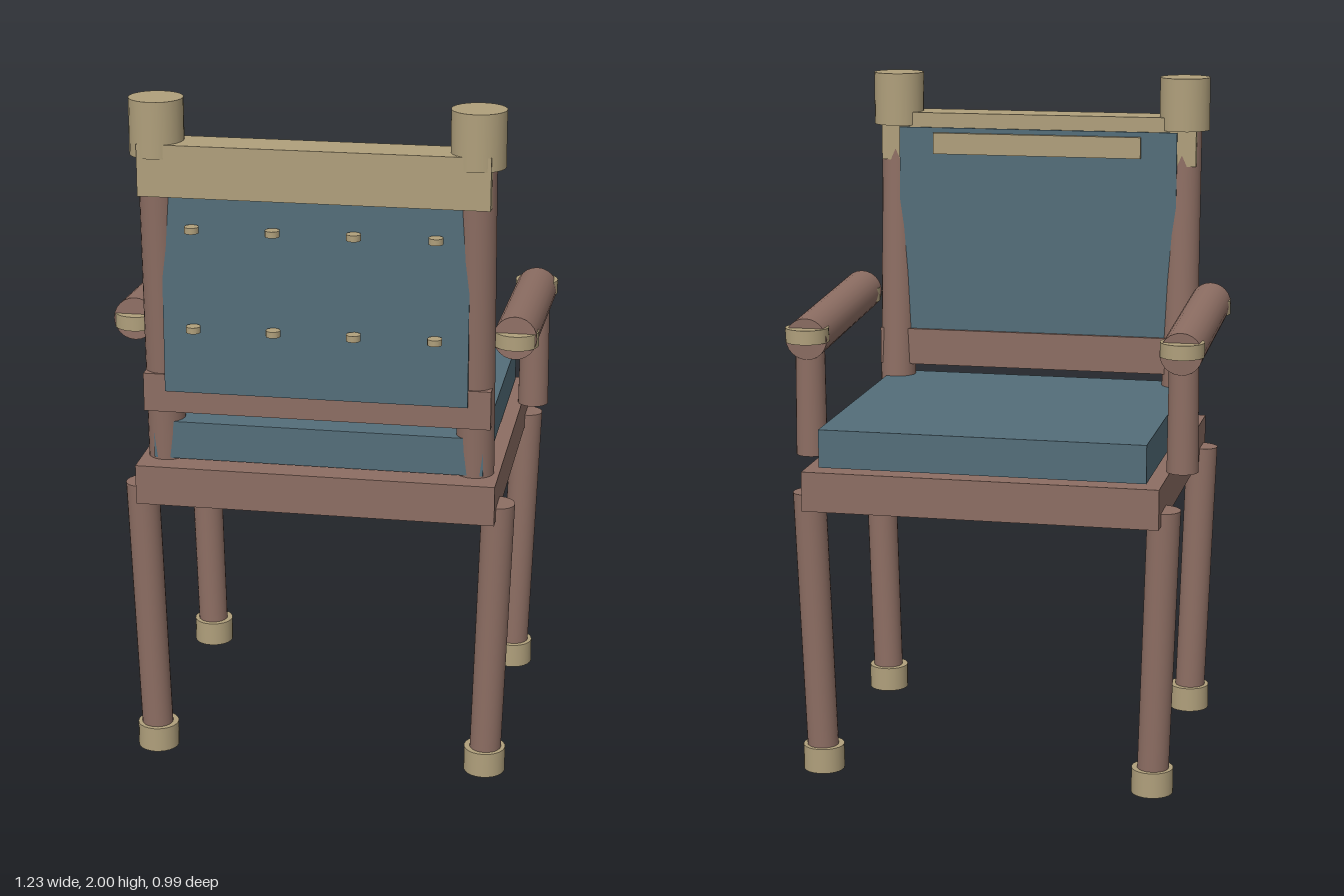
import * as THREE from 'three';

const mat = (name, color) => {
  const m = new THREE.MeshStandardMaterial({ color });
  m.name = name;
  return m;
};

export function createModel() {
  const model = new THREE.Group();
  model.name = 'armchair';
  const wood = mat('brownWood', 0x8d6e63);
  const fabric = mat('blueFabric', 0x546e7a);
  const brass = mat('paleBrass', 0xb0a07c);

  const add = (name, geometry, material) => {
    const mesh = new THREE.Mesh(geometry, material);
    mesh.name = name;
    model.add(mesh);
    return mesh;
  };

  // Box given by its ranges, centred on x = 0
  const slab = (name, material, width, y0, y1, z0, z1) =>
    add(name, new THREE.BoxGeometry(width, y1 - y0, z1 - z0), material)
      .position.set(0, (y0 + y1) / 2, (z0 + z1) / 2);

  // Round bar from point a to point b
  const rod = (name, material, a, b, rA, rB = rA, segments = 24) => {
    const from = new THREE.Vector3(...a), to = new THREE.Vector3(...b);
    const dir = to.clone().sub(from);
    const mesh = add(name, new THREE.CylinderGeometry(rB, rA, dir.length(), segments), material);
    mesh.position.copy(from).add(to).multiplyScalar(0.5);
    mesh.quaternion.setFromUnitVectors(new THREE.Vector3(0, 1, 0), dir.normalize());
  };

  // Seat
  slab('seatFrame', wood, 1.04, 0.815, 0.932, -0.495, 0.485);
  slab('seatCushion', fabric, 0.956, 0.938, 1.05, -0.457, 0.42);

  // Backrest
  slab('lowerBackRail', wood, 1.0, 1.087, 1.2, 0.345, 0.443);
  slab('backPanel', fabric, 0.87, 1.152, 1.835, 0.355, 0.451);
  slab('topRail', brass, 0.986, 1.732, 1.88, 0.362, 0.485);
  slab('backTrim', brass, 0.65, 1.755, 1.82, 0.34, 0.356);

  // Upholstery studs
  for (const y of [1.64, 1.35])
    for (const x of [-0.343, -0.114, 0.114, 0.343])
      rod('stud', brass, [x, y - 0.009, 0.474], [x, y + 0.009, 0.474], 0.021, 0.021, 12);

  for (const s of [-1, 1]) {
    // Splayed legs with feet
    for (const [zFoot, zTop, end] of [[-0.39, -0.405, 'front'], [0.385, 0.397, 'back']]) {
      rod(end + 'Leg', wood, [s * 0.495, 0.005, zFoot], [s * 0.522, 0.853, zTop], 0.046, 0.048);
      rod(end + 'Foot', brass, [s * 0.495, 0, zFoot], [s * 0.495, 0.075, zFoot], 0.061);
    }

    // Leaning back posts with caps
    rod('backPost', wood, [s * 0.45, 0.93, 0.368], [s * 0.45, 1.85, 0.42], 0.055, 0.053);
    rod('postCap', brass, [s * 0.45, 1.84, 0.416], [s * 0.45, 2, 0.416], 0.077);

    // Armrests, supports and end discs
    rod('armSupport', wood, [s * 0.553, 0.932, -0.265], [s * 0.553, 1.28, -0.265], 0.046, 0.043);
    rod('armrest', wood, [s * 0.551, 1.323, 0.322], [s * 0.551, 1.285, -0.316], 0.062);
    for (const [y, z] of [[1.297, -0.297], [1.316, 0.291]])
      rod('armDisc', brass, [s * 0.552, y - 0.021, z], [s * 0.552, y + 0.021, z], 0.064);
  }
  return model;
}
